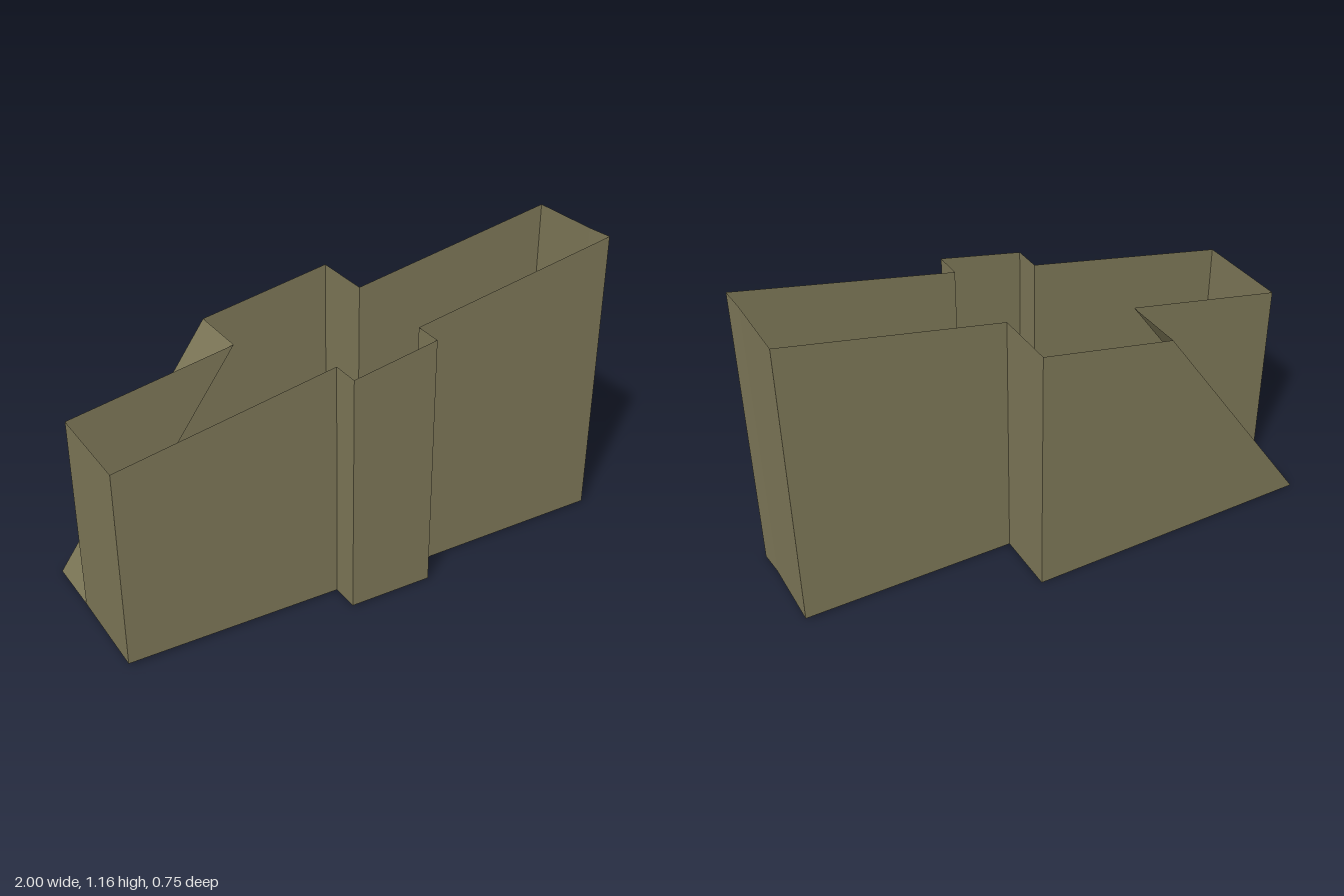
import * as THREE from 'three';

const olive = new THREE.MeshStandardMaterial({ color: 0x7b7556, side: THREE.DoubleSide });
olive.name = 'olive';

// Height of the slanted upper rim at a given x
const rim = (x) => 0.968 + 0.1925 * x;

// Flat polygon from corners, counter-clockwise as seen from outside
function face(name, corners) {
  const index = [];
  for (let i = 1; i < corners.length - 1; i++) index.push(0, i, i + 1);
  const geometry = new THREE.BufferGeometry();
  geometry.setAttribute('position', new THREE.Float32BufferAttribute(corners.flat(), 3));
  geometry.setIndex(index);
  const flat = geometry.toNonIndexed();
  flat.computeVertexNormals();
  const mesh = new THREE.Mesh(flat, olive);
  mesh.name = name;
  return mesh;
}

// Upright wall between two plan points [x, z, bottom], going left to right from outside
function wall(name, [x0, z0, y0 = 0], [x1, z1, y1 = 0]) {
  return face(name, [[x0, y0, z0], [x1, y1, z1], [x1, rim(x1), z1], [x0, rim(x0), z0]]);
}

export function createModel() {
  const model = new THREE.Group();
  model.name = 'buildingShell';

  const low = -1, cut = -0.36, high = 0.99;   // ends of the body and top of the ramp
  const front = 0.26, back = -0.13, deep = -0.377;
  const bayL = -0.17, bayR = 0.16, bayZ = 0.373;

  // Front wall with its projecting bay, the tall end and the stepped back
  const outline = [
    ['lowEndWall', [low, back, 0.01]],
    ['frontWallLow', [low, front, 0.012]],
    ['baySideLow', [bayL, front, 0.003]],
    ['bayFront', [bayL, bayZ, 0.005]],
    ['baySideHigh', [bayR, bayZ, 0.003]],
    ['frontWallHigh', [bayR, front]],
    ['highEndStrip', [0.996, front, 0.002]],
    ['highEndWall', [high, 0.155, 0.01]],
    ['backWallHigh', [high, back, 0.008]],
    ['annexSide', [bayR, back]],
  ];
  outline.forEach(([name, from], i) => {
    const to = i + 1 < outline.length ? outline[i + 1][1] : [bayR, deep];
    model.add(wall(name, from, to));
  });

  // Rear annex wall, cut off along the ramp
  model.add(face('annexBackWall', [
    [bayR, 0, deep], [low, 0, deep], [cut, rim(cut), deep], [bayR, rim(bayR), deep],
  ]));

  // Sloping ramp
  model.add(face('ramp', [
    [cut, rim(cut), deep], [low, 0, deep], [low, 0.01, back], [cut, rim(cut), back],
  ]));

  // Triangular wall above the ramp
  model.add(face('wallAboveRamp', [
    [cut, rim(cut), back], [low, 0.01, back], [low, rim(low), back],
  ]));

  return model;
}
